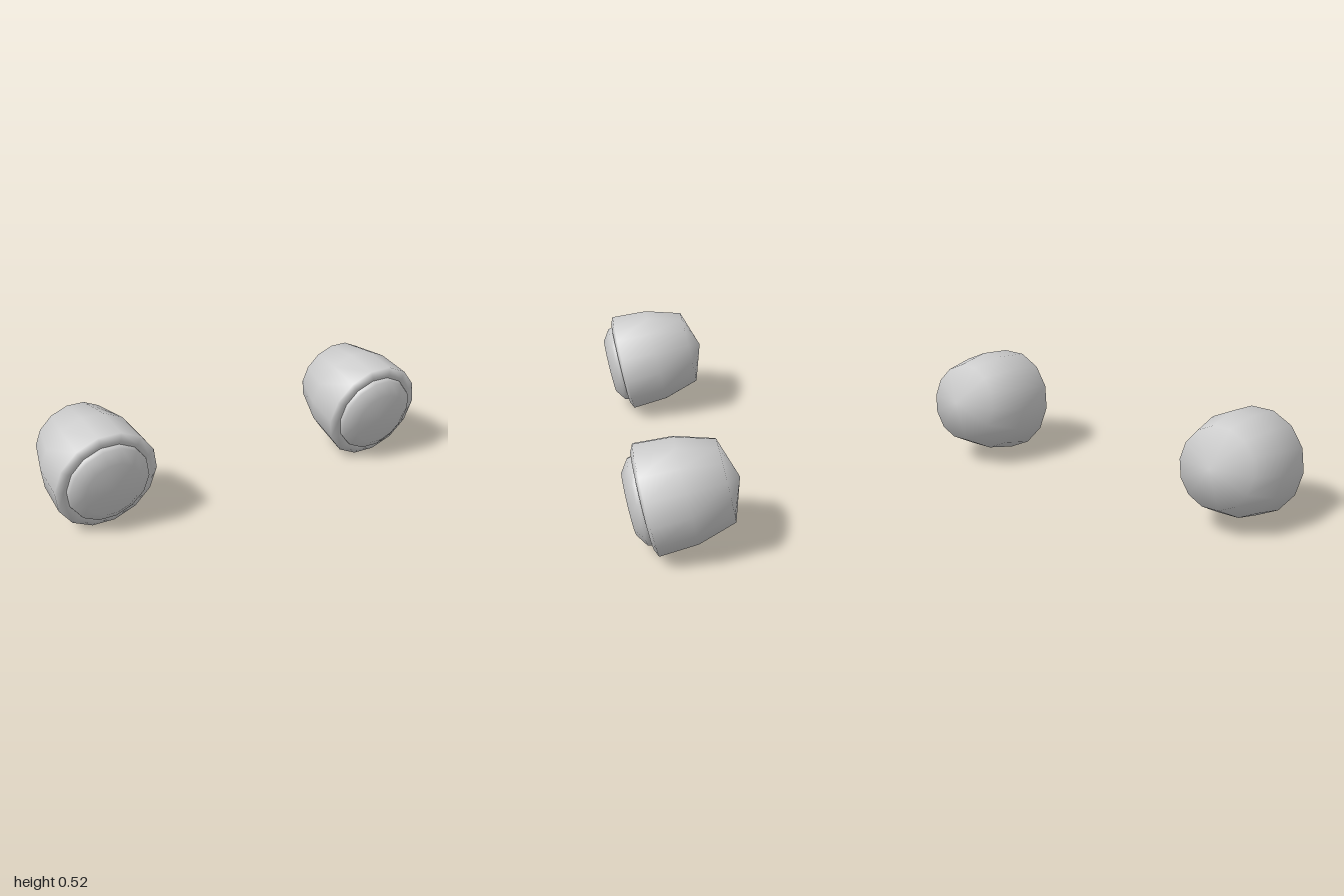
import * as THREE from 'three';
import { mergeVertices } from 'three/addons/utils/BufferGeometryUtils.js';

const SIDES = 14;
const TILT = 0.22; // the lamps look slightly downward

// Smooth-shaded turned part; profile pairs are [radius, distance along the axis], back to front
function turned(profile) {
  const points = profile.map(([r, s]) => new THREE.Vector2(r, s));
  let geometry = new THREE.LatheGeometry(points, SIDES, Math.PI / 2, Math.PI * 2);
  geometry.deleteAttribute('normal');
  geometry.deleteAttribute('uv');
  geometry = mergeVertices(geometry, 1e-4);
  geometry.computeVertexNormals();
  geometry.rotateX(Math.PI / 2 + TILT);
  return geometry;
}

export function createModel() {
  const model = new THREE.Group();
  model.name = 'headlights';
  const grey = new THREE.MeshStandardMaterial({ color: 0xcccccc });
  grey.name = 'light grey';

  // Bowl-shaped housing with a rolled front rim
  const housing = turned([
    [0, -0.421], [0.1905, -0.358], [0.245, -0.179], [0.256, 0],
    [0.221, 0.016], [0.2, 0.008],
  ]);
  // Bevelled lens set into the rim
  const lens = turned([
    [0.2025, 0], [0.2025, 0.018], [0.198, 0.037], [0.1415, 0.076], [0, 0.077],
  ]);

  for (const [side, name] of [[1, 'left'], [-1, 'right']]) {
    const lamp = new THREE.Group();
    lamp.name = name + 'Headlight';
    const housingMesh = new THREE.Mesh(housing, grey);
    housingMesh.name = 'housing';
    const lensMesh = new THREE.Mesh(lens, grey);
    lensMesh.name = 'lens';
    lamp.add(housingMesh, lensMesh);
    lamp.position.set(side * 0.744, 0.245, 0.155);
    model.add(lamp);
  }
  return model;
}
